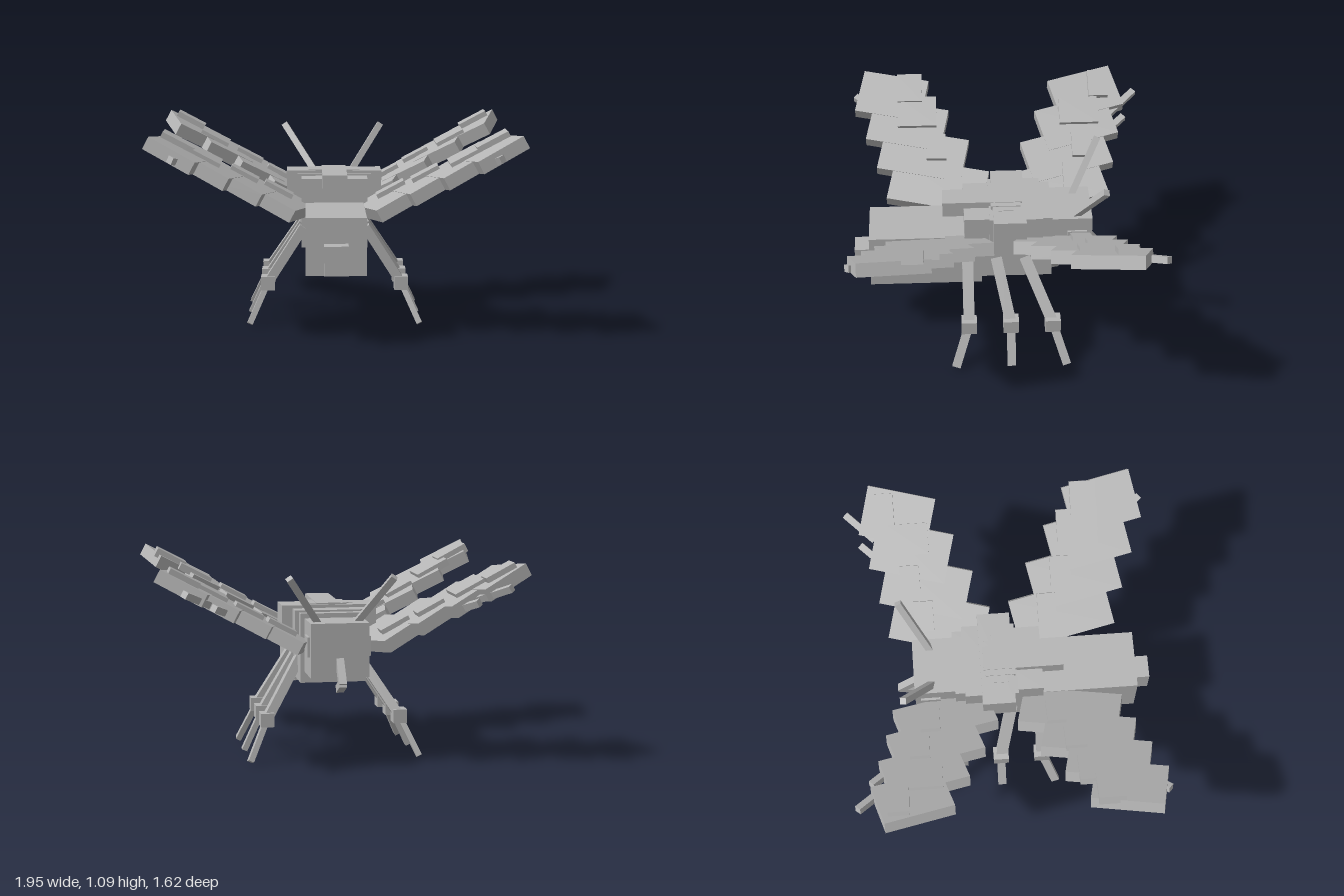
import * as THREE from 'three';

const shell = new THREE.MeshStandardMaterial({ color: 0xb4b4b4 });
shell.name = 'grey';

// Box spanning two opposite corners
function block(parent, name, x0, x1, y0, y1, z0, z1) {
  const m = new THREE.Mesh(new THREE.BoxGeometry(x1 - x0, y1 - y0, z1 - z0), shell);
  m.position.set((x0 + x1) / 2, (y0 + y1) / 2, (z0 + z1) / 2);
  m.name = name;
  parent.add(m);
  return m;
}

// Square bar running between two points, with one face kept towards x
function bar(parent, name, a, b, w, d) {
  const A = new THREE.Vector3(...a), B = new THREE.Vector3(...b);
  const m = new THREE.Mesh(new THREE.BoxGeometry(w, A.distanceTo(B), d), shell);
  const y = B.clone().sub(A).normalize();
  const z = new THREE.Vector3(0, 0, 1).addScaledVector(y, -y.z).normalize();
  const x = new THREE.Vector3().crossVectors(y, z);
  m.quaternion.setFromRotationMatrix(new THREE.Matrix4().makeBasis(x, y, z));
  m.position.copy(A).add(B).multiplyScalar(0.5);
  m.name = name;
  parent.add(m);
}

const TILT = 28 * Math.PI / 180, COS = Math.cos(TILT);
const WIDTH = 0.27, THICK = 0.07;

// Wing of four overlapping slabs; s is the side, d the z direction
function wing(s, d, name, spec) {
  const g = new THREE.Group();
  g.name = name;
  g.position.y = 0.535;
  g.rotation.z = s * TILT;
  const a = spec.yaw * Math.PI / 180, sin = Math.sin(a), cos = Math.cos(a);
  spec.slabs.forEach(([x, z, len], i) => {
    const m = new THREE.Mesh(new THREE.BoxGeometry(WIDTH, THICK, len), shell);
    const u = x / COS + sin * len / 2 - cos * WIDTH / 2;
    const v = z + cos * len / 2 + sin * WIDTH / 2;
    m.position.set(s * u, i * 0.002, d * v);
    m.rotation.y = s * d * a;
    m.name = 'wingSlab';
    g.add(m);
  });
  // raised scales on the upper face: x range, z range, height
  spec.scales.forEach(([x0, x1, z0, z1, h]) => {
    const m = block(g, 'wingScale', x0 / COS, x1 / COS, 0.02, THICK / 2 + h, d > 0 ? z0 : -z1, d > 0 ? z1 : -z0);
    m.position.x = s * (m.position.x + 0.02);
  });
  return g;
}

const wings = {
  rearWing: {
    d: 1, yaw: 12,
    slabs: [[0.36, 0.053, 0.53], [0.54, 0.16, 0.475], [0.715, 0.27, 0.425], [0.89, 0.38, 0.375]],
    scales: [[0.23, 0.375, 0.21, 0.31, 0.025], [0.41, 0.55, 0.29, 0.4, 0.025],
      [0.6, 0.77, 0.34, 0.56, 0.025], [0.74, 0.9, 0.42, 0.56, 0.035]],
    rods: [[[0.83, 0.97, 0.8], [0.74, 0.93, 0.68]]],
  },
  headWing: {
    d: -1, yaw: 15,
    slabs: [[0.34, 0.05, 0.51], [0.52, 0.13, 0.465], [0.7, 0.22, 0.415], [0.875, 0.305, 0.37]],
    scales: [[0.23, 0.375, 0.36, 0.465, 0.025], [0.41, 0.55, 0.42, 0.525, 0.025],
      [0.6, 0.75, 0.36, 0.58, 0.025], [0.75, 0.9, 0.535, 0.645, 0.035]],
    rods: [[[0.83, 0.97, -0.8], [0.7, 0.9, -0.65]], [[0.68, 0.89, -0.73], [0.62, 0.86, -0.66]]],
  },
};

export function createModel() {
  const root = new THREE.Group();
  root.name = 'winged insect';

  // Body
  block(root, 'abdomen', -0.156, 0.156, 0.363, 0.662, 0.113, 0.72);
  block(root, 'tail', -0.062, 0.062, 0.377, 0.53, 0.71, 0.805);
  block(root, 'thorax', -0.178, 0.178, 0.417, 0.79, -0.268, 0.205);
  block(root, 'head', -0.155, 0.155, 0.477, 0.765, -0.485, -0.26);

  // Stepped fur on the thorax
  block(root, 'furCollar', -0.2, 0.2, 0.66, 0.8, -0.215, 0.07);
  block(root, 'furShoulders', -0.258, 0.258, 0.66, 0.816, -0.125, 0.05);
  block(root, 'furRidge', -0.066, 0.066, 0.74, 0.825, -0.11, 0.32);
  block(root, 'furRidgeStep', -0.1, 0.1, 0.74, 0.822, -0.1, 0.06);
  block(root, 'furRidgeStep', -0.14, 0.14, 0.74, 0.819, -0.06, 0.02);

  // Bent mouthpart
  bar(root, 'mouthpartUpper', [0, 0.58, -0.46], [0, 0.45, -0.57], 0.04, 0.04);
  bar(root, 'mouthpartLower', [0, 0.463, -0.575], [0, 0.415, -0.468], 0.04, 0.04);

  for (const s of [1, -1]) {
    const side = s > 0 ? 'left' : 'right';
    const eye = block(root, side + 'Eye', 0.12, 0.168, 0.585, 0.69, -0.455, -0.35);
    eye.position.x *= s;
    bar(root, side + 'Antenna', [s * 0.1, 0.75, -0.39], [s * 0.275, 1.01, -0.54], 0.035, 0.035);

    // Legs: z of hip, knee and foot
    for (const [hip, knee, foot] of [[0.19, 0.19, 0.265], [0.035, -0.038, -0.038], [-0.12, -0.265, -0.34]]) {
      const leg = new THREE.Group();
      leg.name = side + 'Leg';
      bar(leg, 'upperLeg', [s * 0.165, 0.53, hip], [s * 0.36, 0.225, knee], 0.05, 0.06);
      block(leg, 'knee', s * 0.36 - 0.037, s * 0.36 + 0.037, 0.188, 0.262, knee - 0.042, knee + 0.042);
      bar(leg, 'lowerLeg', [s * 0.36, 0.225, knee], [s * 0.458, 0.012, foot], 0.03, 0.046);
      root.add(leg);
    }

    // Wings with small trailing rods
    for (const [name, spec] of Object.entries(wings)) {
      const w = wing(s, spec.d, side + name[0].toUpperCase() + name.slice(1), spec);
      root.add(w);
      for (const [a, b] of spec.rods) {
        bar(root, 'wingRod', [s * a[0], a[1], a[2]], [s * b[0], b[1], b[2]], 0.036, 0.036);
      }
    }
  }
  return root;
}
